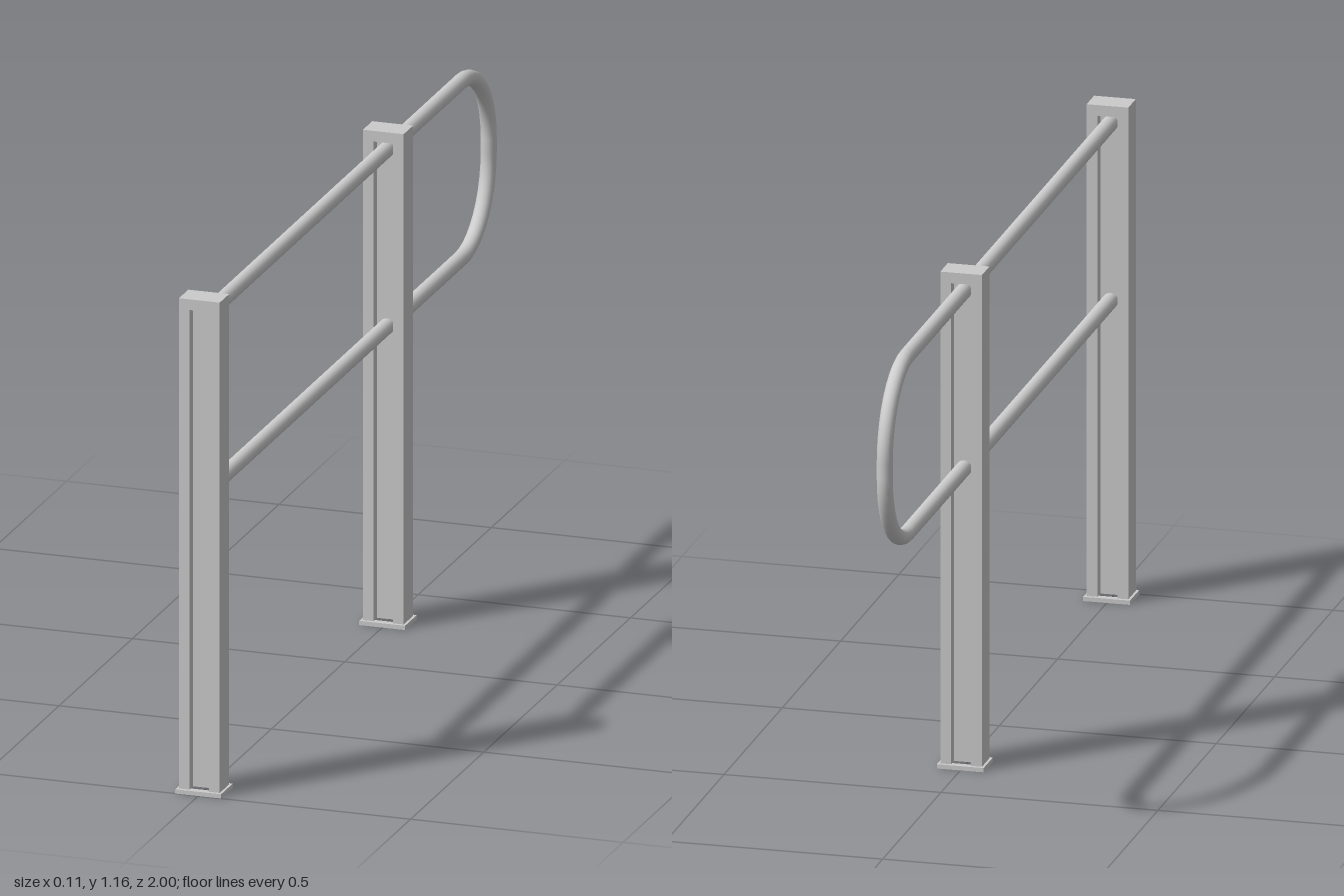
import * as THREE from 'three';

const material = new THREE.MeshStandardMaterial({ color: 0xcccccc });

const POST_Z = [0.96, -0.295];
const PLATE_H = 0.01, GROOVE_TOP = 1.135, POST_TOP = 1.16;
const HX = 0.048, HZ = 0.032;          // post half sizes
const GROOVE_X = 0.023, WEB_Z = 0.007; // groove half width, web half thickness
const RAIL_R = 0.018, RAIL_Y = [1.112, 0.697];
const BEND_R = 0.19, BEND_Z = -0.792;

function add(parent, name, geometry, x = 0, y = 0, z = 0) {
  const mesh = new THREE.Mesh(geometry, material);
  mesh.name = name;
  mesh.position.set(x, y, z);
  parent.add(mesh);
  return mesh;
}

// Extrude a plan shape upwards from y = 0
function extrudeUp(shape, height) {
  const g = new THREE.ExtrudeGeometry(shape, { depth: height, bevelEnabled: false });
  return g.rotateX(-Math.PI / 2);
}

const rect = (w, h) => [[-w, -h], [w, -h], [w, h], [-w, h]].map(p => new THREE.Vector2(...p));

// Post: H-section with a groove front and back, closed cap, open base plate
function makePost() {
  const post = new THREE.Group();
  post.name = 'post';

  const section = new THREE.Shape([
    [-HX, -HZ], [-GROOVE_X, -HZ], [-GROOVE_X, -WEB_Z], [GROOVE_X, -WEB_Z], [GROOVE_X, -HZ], [HX, -HZ],
    [HX, HZ], [GROOVE_X, HZ], [GROOVE_X, WEB_Z], [-GROOVE_X, WEB_Z], [-GROOVE_X, HZ], [-HX, HZ],
  ].map(p => new THREE.Vector2(...p)));
  add(post, 'postShaft', extrudeUp(section, GROOVE_TOP - PLATE_H), 0, PLATE_H);

  const capH = POST_TOP - GROOVE_TOP;
  add(post, 'postCap', new THREE.BoxGeometry(HX * 2, capH, HZ * 2), 0, GROOVE_TOP + capH / 2);

  const plate = new THREE.Shape(rect(0.054, 0.04));
  plate.holes.push(new THREE.Path(rect(0.035, 0.023).reverse()));
  add(post, 'basePlate', extrudeUp(plate, PLATE_H));
  return post;
}

// Rail: two straight bars joined by a rounded end loop
function makeRail() {
  const rail = new THREE.Group();
  rail.name = 'rail';
  const length = POST_Z[0] - BEND_Z;
  for (const y of RAIL_Y) {
    const bar = new THREE.CylinderGeometry(RAIL_R, RAIL_R, length, 20).rotateX(Math.PI / 2);
    add(rail, 'railBar', bar, 0, y, BEND_Z + length / 2);
  }
  RAIL_Y.forEach((y, i) => {
    const bend = new THREE.TorusGeometry(BEND_R, RAIL_R, 20, 10, Math.PI / 2);
    if (i === 1) bend.rotateZ(-Math.PI / 2);
    bend.rotateY(Math.PI / 2);
    add(rail, 'railBend', bend, 0, y + (i ? BEND_R : -BEND_R), BEND_Z);
  });
  const gap = RAIL_Y[0] - RAIL_Y[1] - 2 * BEND_R;
  add(rail, 'railEnd', new THREE.CylinderGeometry(RAIL_R, RAIL_R, gap, 20, 1, true),
    0, (RAIL_Y[0] + RAIL_Y[1]) / 2, BEND_Z - BEND_R);
  return rail;
}

export function createModel() {
  const model = new THREE.Group();
  model.name = 'guardRail';
  for (const z of POST_Z) {
    const post = makePost();
    post.position.z = z;
    model.add(post);
  }
  model.add(makeRail());
  return model;
}
